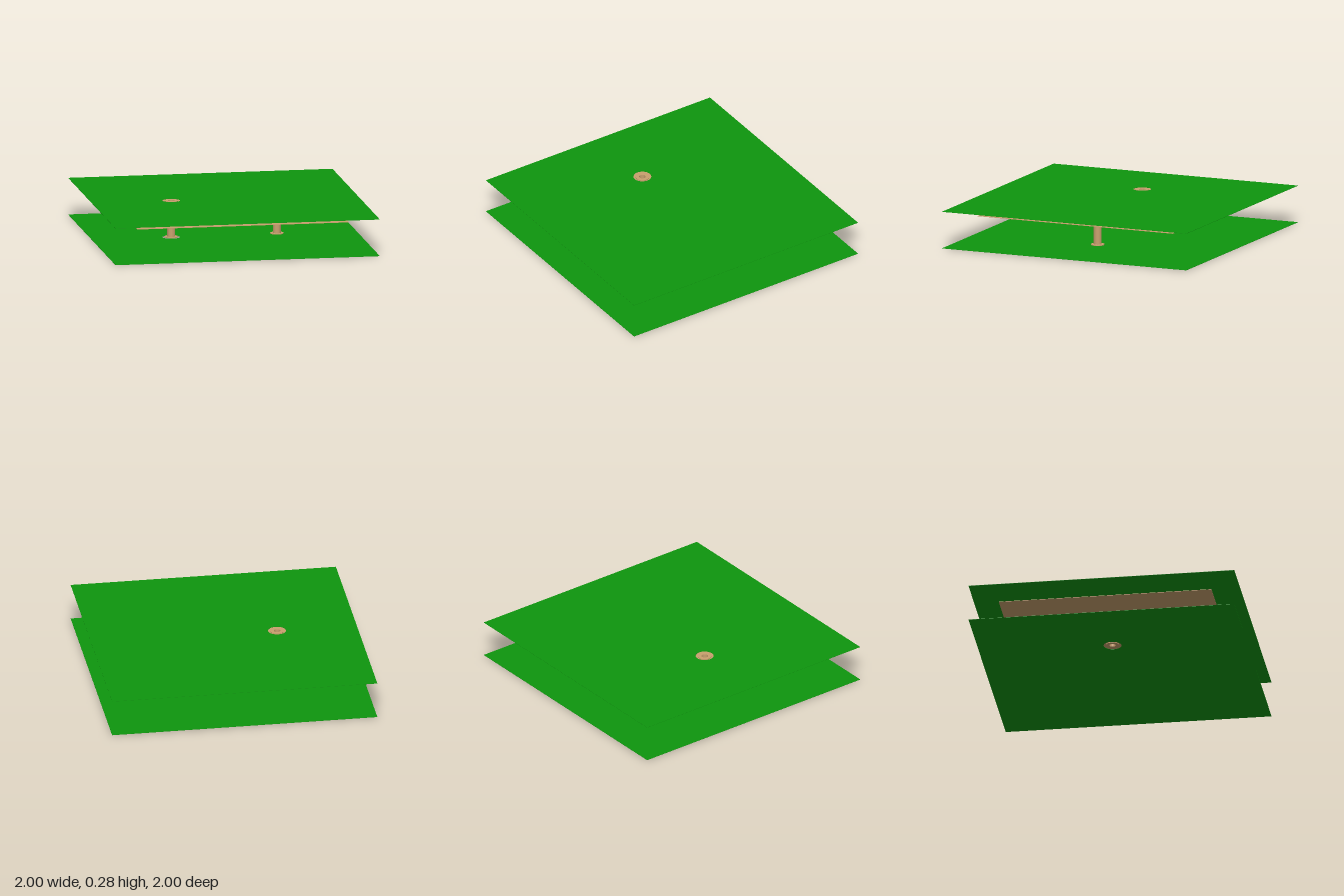
import * as THREE from 'three';

const green = new THREE.MeshStandardMaterial({ color: 0x0e960e, side: THREE.DoubleSide });
const copper = new THREE.MeshStandardMaterial({ color: 0xc8a06e, side: THREE.DoubleSide });

const HEIGHT = 0.28;
const SKIN = 0.002;      // thickness of the green sheets
const POST_X = 0.4;
const HOLE_R = 0.067;

// Thin square sheet lying flat with its underside at y, with an optional round opening
function sheet(name, half, y, thickness, material, openingX) {
  const shape = new THREE.Shape();
  shape.moveTo(-half, -half);
  shape.lineTo(half, -half);
  shape.lineTo(half, half);
  shape.lineTo(-half, half);
  shape.closePath();
  if (openingX !== undefined) {
    const hole = new THREE.Path();
    hole.absarc(openingX, 0, HOLE_R, 0, Math.PI * 2, true);
    shape.holes.push(hole);
  }
  const geometry = new THREE.ExtrudeGeometry(shape, { depth: thickness, bevelEnabled: false, curveSegments: 24 });
  geometry.rotateX(-Math.PI / 2);
  const mesh = new THREE.Mesh(geometry, material);
  mesh.name = name;
  mesh.position.y = y;
  return mesh;
}

// Hollow ring with a rectangular section
function ring(name, inner, outer, y0, y1) {
  const shape = new THREE.Shape();
  shape.absarc(0, 0, outer, 0, Math.PI * 2, false);
  const bore = new THREE.Path();
  bore.absarc(0, 0, inner, 0, Math.PI * 2, true);
  shape.holes.push(bore);
  const geometry = new THREE.ExtrudeGeometry(shape, { depth: y1 - y0, bevelEnabled: false, curveSegments: 16 });
  geometry.rotateX(-Math.PI / 2);
  const mesh = new THREE.Mesh(geometry, copper);
  mesh.name = name;
  mesh.position.y = y0;
  return mesh;
}

// Hollow post with a flat pad at each end
function post(name, x) {
  const group = new THREE.Group();
  group.name = name;
  const bottom = SKIN, top = HEIGHT - SKIN, pad = 0.006;
  group.add(
    ring('barrel', 0.024, 0.03, bottom + pad, top - pad),
    ring('bottomPad', 0.024, 0.05, bottom, bottom + pad),
    ring('topPad', 0.024, 0.05, top - pad, top)
  );
  group.position.x = x;
  return group;
}

export function createModel() {
  const model = new THREE.Group();
  model.name = 'layeredBoard';
  // Outer sheets, open only over the right post
  model.add(sheet('bottomSheet', 1, 0, SKIN, green, -POST_X));
  model.add(sheet('topSheet', 1, HEIGHT - SKIN, SKIN, green, -POST_X));
  // Smaller copper layer between them
  model.add(sheet('innerLayer', 0.8, 0.225, 0.003, copper));
  // Posts joining the sheets
  model.add(post('rightPost', -POST_X), post('leftPost', POST_X));
  return model;
}
